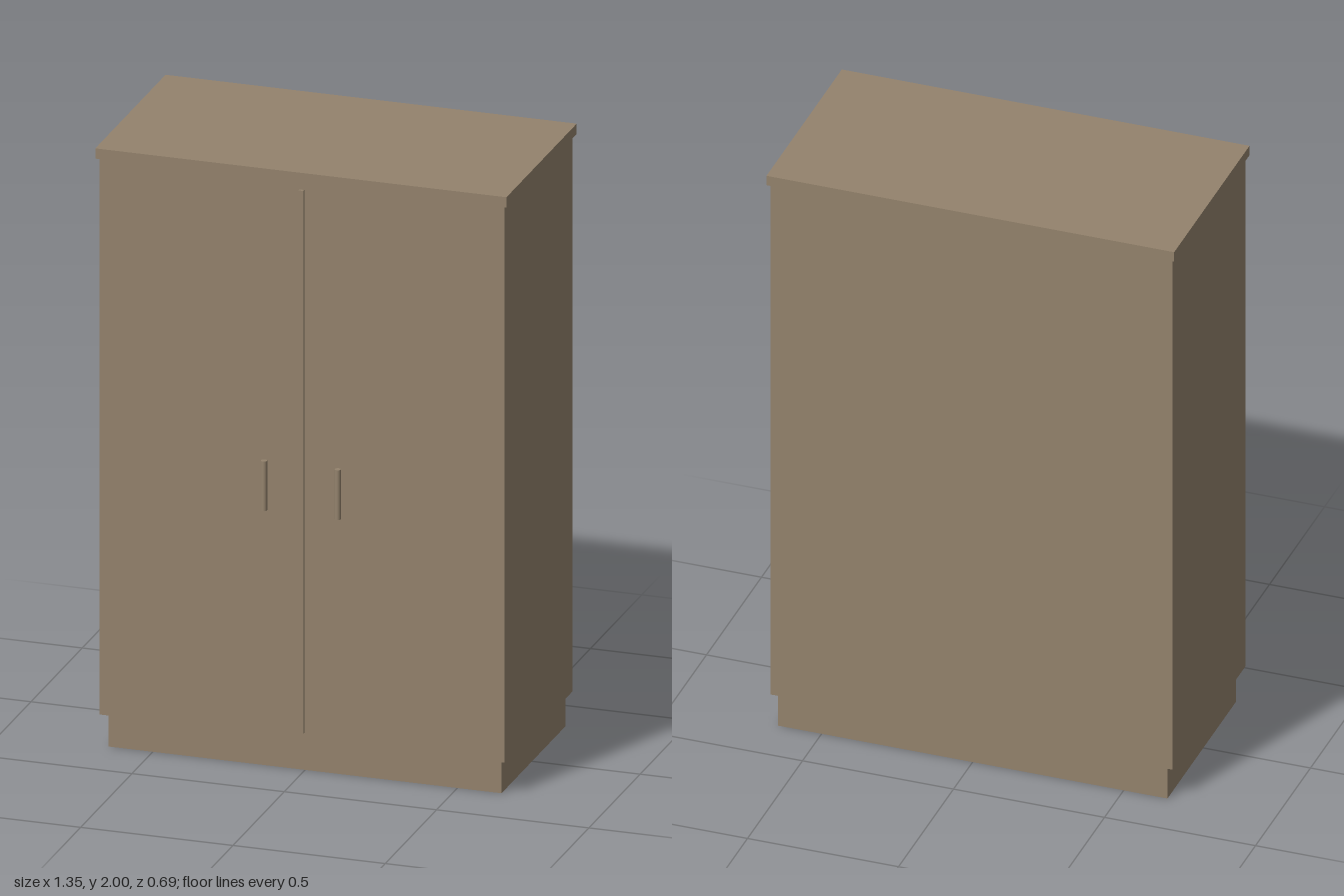
import * as THREE from 'three';

export function createModel() {
  const model = new THREE.Group();
  model.name = 'wardrobe';
  const wood = new THREE.MeshStandardMaterial({ color: 0x94836d });
  wood.name = 'taupe wood';

  // Box given by its half width, and its y and z extents
  const addBox = (name, halfW, y0, y1, z0, z1) => {
    const mesh = new THREE.Mesh(new THREE.BoxGeometry(2 * halfW, y1 - y0, z1 - z0), wood);
    mesh.position.set(0, (y0 + y1) / 2, (z0 + z1) / 2);
    mesh.name = name;
    model.add(mesh);
  };

  addBox('plinth', 0.645, 0, 0.115, -0.326, 0.297);
  addBox('cabinetBody', 0.665, 0.115, 1.966, -0.337, 0.327);
  addBox('topPanel', 0.675, 1.966, 2, -0.347, 0.338);
  addBox('doorStrip', 0.008, 0.135, 1.94, 0.32, 0.337);

  // Round bar handles, half sunk into the doors
  for (const side of [-1, 1]) {
    const handle = new THREE.Mesh(new THREE.CylinderGeometry(0.01, 0.01, 0.165, 16), wood);
    handle.position.set(side * 0.121, 0.946, 0.337);
    handle.name = side > 0 ? 'leftHandle' : 'rightHandle';
    model.add(handle);
  }
  return model;
}
